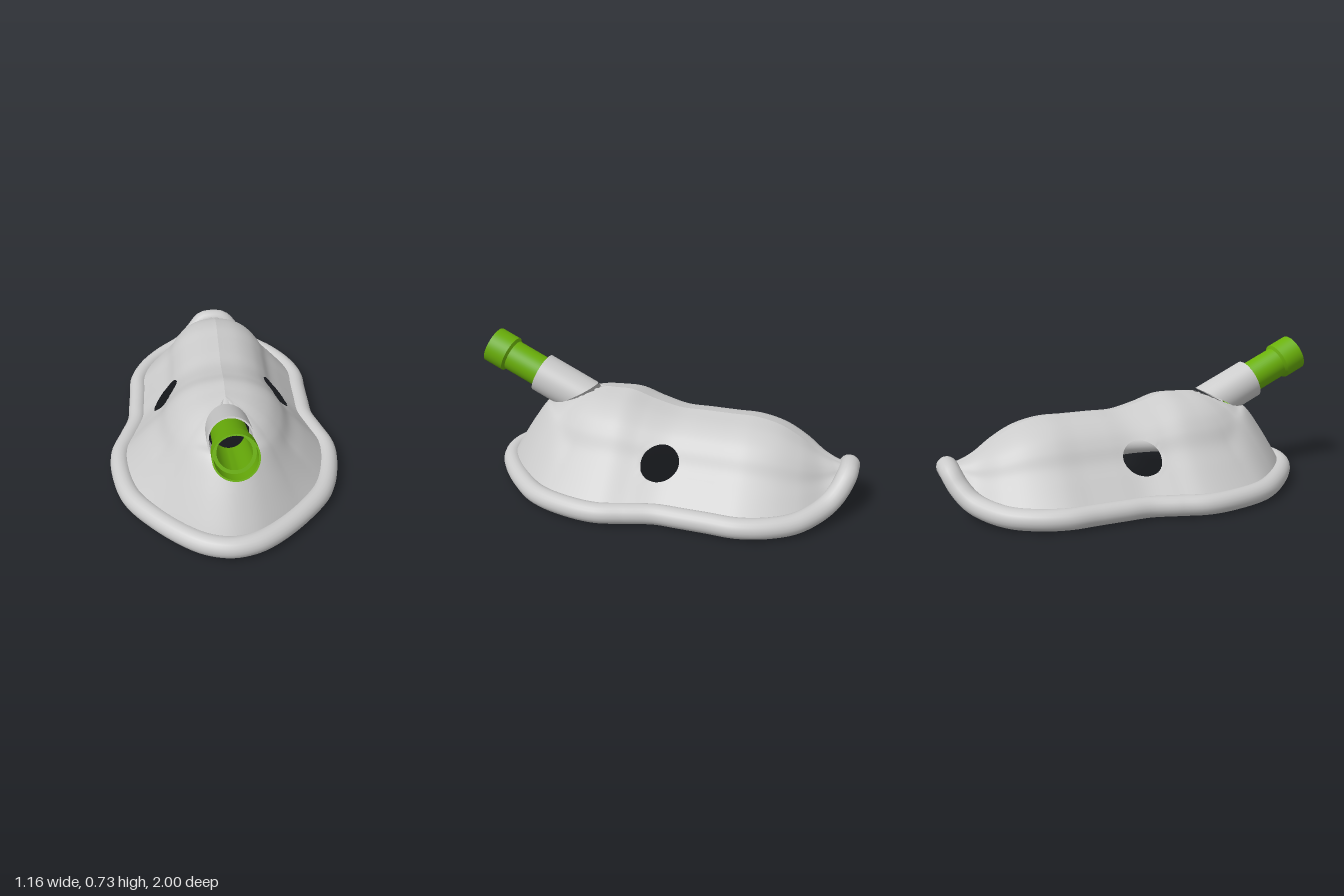
import * as THREE from 'three';
import { toCreasedNormals } from 'three/addons/utils/BufferGeometryUtils.js';

const V = (x, y, z) => new THREE.Vector3(x, y, z);
const grey = new THREE.MeshStandardMaterial({ color: 0xcccccc, side: THREE.DoubleSide });
const green = new THREE.MeshStandardMaterial({ color: 0x6ab00a, side: THREE.DoubleSide });

// Half outline, chin to nose: rim x, y, z, then matching ridge y, z
const half = [
  [0, .05, .86, .485, .3], [.1, .05, .84, .485, .3], [.19, .05, .79, .485, .3],
  [.34, .05, .66, .485, .3], [.46, .05, .51, .485, .29], [.52, .05, .32, .485, .26],
  [.53, .05, .17, .485, .17], [.495, .05, .04, .45, .05], [.457, .05, -.1, .42, -.09],
  [.455, .05, -.22, .42, -.22], [.455, .05, -.36, .42, -.36], [.455, .05, -.5, .42, -.48],
  [.41, .05, -.64, .395, -.6], [.33, .055, -.76, .345, -.7], [.19, .085, -.87, .285, -.79],
  [.12, .14, -.92, .255, -.85], [.06, .2, -.948, .24, -.89], [0, .21, -.95, .235, -.91],
];
const loop = [...half, ...half.slice(1, -1).reverse().map(([x, ...r]) => [-x, ...r])];
const rimCurve = new THREE.CatmullRomCurve3(loop.map(p => V(p[0], p[1], p[2])), true);
const ridgeCurve = new THREE.CatmullRomCurve3(loop.map(p => V(0, p[3], p[4])), true);

// Rim-to-ridge profiles as (fraction inward, fraction up)
const inward = [0, .09, .24, .38, .48, .6, .77, 1];
const profile = up => new THREE.SplineCurve(inward.map((a, i) => new THREE.Vector2(a, up[i])));
const sideProfile = profile([0, .115, .31, .49, .68, .83, .94, 1]);
const frontProfile = profile([0, .2, .5, .74, .79, .86, .94, 1]);

const tilt = THREE.MathUtils.degToRad(65);
const portEnd = V(0, .645, .96);
const portAxis = V(0, Math.cos(tilt), Math.sin(tilt));

// Openings: each returns how far out a point lies (1 = on the edge) and a snap to the edge
const sideHole = {
  ratio: p => Math.hypot((p.z + .072) / .093, (p.y - .238) / .074),
  snap(p) {
    const k = 1 / this.ratio(p), y = .238 + (p.y - .238) * k;
    p.x -= Math.sign(p.x) * .8 * (y - p.y);
    p.z = -.072 + (p.z + .072) * k;
    p.y = y;
  },
};
const portHole = {
  split(p) {
    const d = p.clone().sub(portEnd);
    const along = portAxis.clone().multiplyScalar(d.dot(portAxis));
    return [along, d.sub(along)];
  },
  ratio(p) { return p.z > .3 && p.y > .25 ? this.split(p)[1].length() / .1 : 9; },
  snap(p) {
    const [along, out] = this.split(p);
    p.copy(portEnd).add(along).add(out.setLength(.1));
  },
};

function shellGeometry() {
  const nu = loop.length * 10, nv = 44, pts = [], index = [];
  for (let j = 0; j <= nv; j++) {
    const s = sideProfile.getPoint(j / nv), f = frontProfile.getPoint(j / nv);
    for (let i = 0; i < nu; i++) {
      const r = rimCurve.getPoint(i / nu), c = ridgeCurve.getPoint(i / nu);
      const w = THREE.MathUtils.smoothstep(r.z, .45, .82);
      const up = THREE.MathUtils.lerp(s.y, f.y, w);
      pts.push(V(r.x + (c.x - r.x) * s.x, r.y + (c.y - r.y) * up, r.z + (c.z - r.z) * s.x));
    }
  }
  // Leave out the cells inside an opening and pull the bordering corners onto its edge
  const snaps = new Map(), kept = [];
  for (let j = 0; j < nv; j++) for (let i = 0; i < nu; i++) {
    const k = (i + 1) % nu;
    const q = [j * nu + i, j * nu + k, (j + 1) * nu + k, (j + 1) * nu + i];
    const mid = q.reduce((m, n) => m.addScaledVector(pts[n], .25), V(0, 0, 0));
    const hole = [sideHole, portHole].find(h => h.ratio(mid) < 1);
    if (hole) q.forEach(n => snaps.set(n, hole));
    else kept.push(q);
  }
  snaps.forEach((hole, n) => hole.snap(pts[n]));
  kept.forEach(([a, b, c, d]) => index.push(a, b, c, a, c, d));
  const g = new THREE.BufferGeometry().setFromPoints(pts);
  g.setIndex(index);
  g.computeVertexNormals();
  return g;
}

// Hollow turned part from (radius, height) pairs
function turned(pairs) {
  return new THREE.LatheGeometry(pairs.map(p => new THREE.Vector2(...p)), 48);
}

export function createModel() {
  const model = new THREE.Group();
  const add = (parent, name, geometry, material) => {
    const mesh = new THREE.Mesh(geometry, material);
    mesh.name = name;
    parent.add(mesh);
  };

  add(model, 'maskShell', shellGeometry(), grey);
  add(model, 'cushionRim', new THREE.TubeGeometry(rimCurve, 204, .05, 20, true), grey);

  // Tilted port, its outer end at the local origin
  const port = new THREE.Group();
  port.name = 'port';
  port.position.copy(portEnd);
  port.rotation.x = tilt;
  model.add(port);

  // Socket with its base cut at a slant to follow the shell
  const socket = turned([[.105, -1], [.105, -.305], [.097, -.305], [.097, -1]]);
  const pos = socket.attributes.position;
  for (let i = 0; i < pos.count; i++) {
    if (pos.getY(i) < -.9) pos.setY(i, -.305 - .215 + .08 * pos.getZ(i) / .105);
  }
  add(port, 'socket', toCreasedNormals(socket, .6), grey);

  // Hose connector: narrow pipe, wider collar and an inner ledge
  const connector = turned([
    [.083, -.47], [.083, -.12], [.097, -.108], [.097, 0], [.09, 0],
    [.09, -.09], [.074, -.09], [.074, -.47], [.083, -.47],
  ]);
  add(port, 'hoseConnector', toCreasedNormals(connector, .6), green);
  return model;
}
